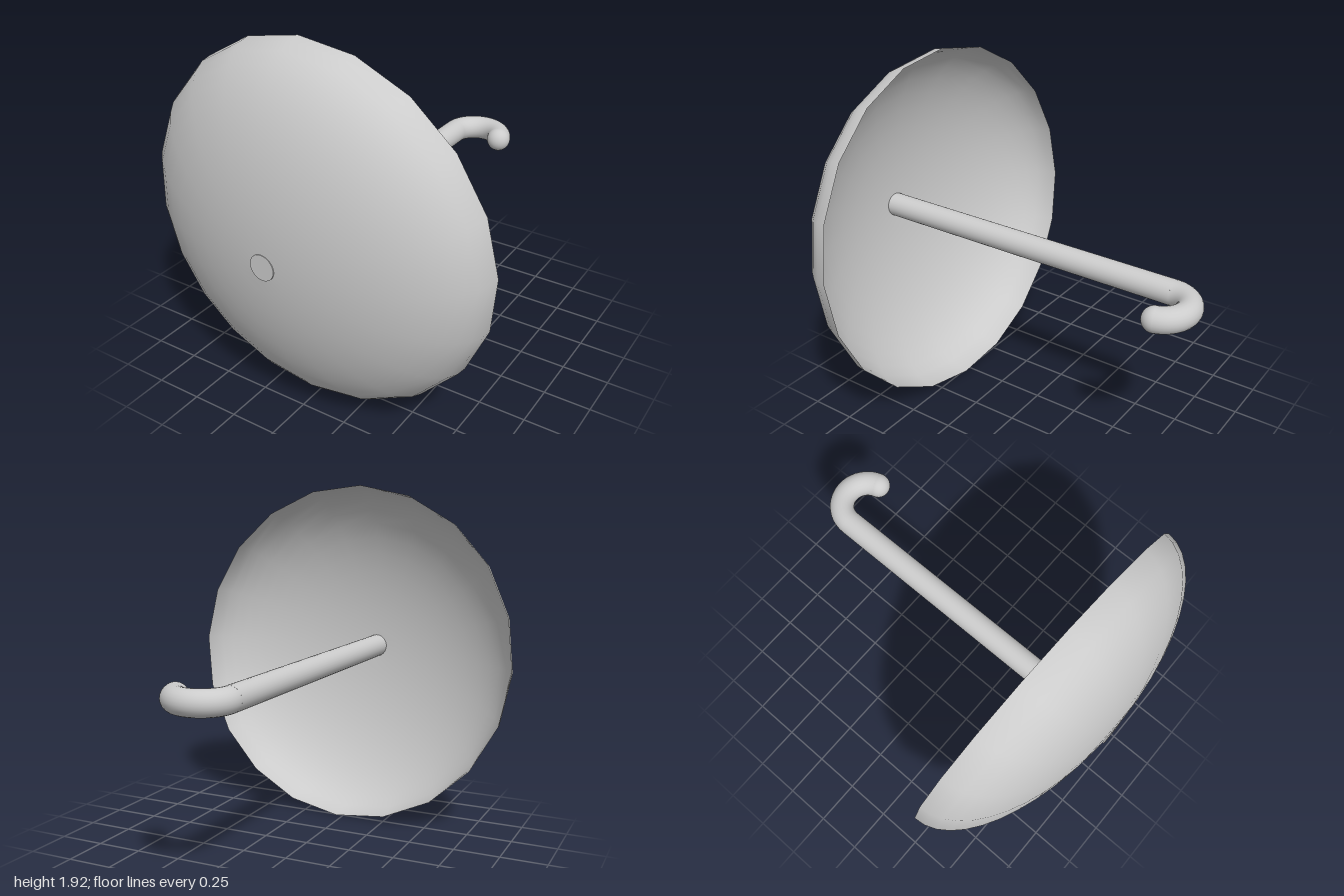
import * as THREE from 'three';

const SHAFT_R = 0.066;
const SHAFT_Y = 0.954;
const HOOK_R = 0.136;
const HOOK_Z = -0.8;

export function createModel() {
  const model = new THREE.Group();
  const grey = new THREE.MeshStandardMaterial({ color: 0xcccccc });
  const thin = new THREE.MeshStandardMaterial({ color: 0xcccccc, side: THREE.DoubleSide });

  const add = (name, geometry, material = grey) => {
    const mesh = new THREE.Mesh(geometry, material);
    mesh.name = name;
    model.add(mesh);
    return mesh;
  };

  // Canopy: open half ellipsoid with twenty sides, tilted slightly off the shaft
  const radius = 0.962, depth = 0.442, rings = 12;
  const profile = [];
  for (let i = 0; i <= rings; i++) {
    const a = (i / rings) * Math.PI / 2;
    profile.push(new THREE.Vector2(i === rings ? 0 : radius * Math.cos(a), depth * Math.sin(a)));
  }
  const dome = new THREE.LatheGeometry(profile, 20, THREE.MathUtils.degToRad(2.3));
  dome.rotateX(Math.PI / 2);
  const canopy = add('canopy', dome, thin);
  const facing = new THREE.Vector3(-0.031, -0.068, 1).normalize();
  canopy.quaternion.setFromUnitVectors(new THREE.Vector3(0, 0, 1), facing);
  canopy.position.set(0, 0.964, 0.55);

  // Shaft: runs from the hook to the tip of the canopy
  const tipZ = 0.997;
  const rod = new THREE.CylinderGeometry(SHAFT_R, SHAFT_R, tipZ - HOOK_Z, 32);
  rod.rotateX(Math.PI / 2);
  add('shaft', rod).position.set(-0.003, SHAFT_Y, (tipZ + HOOK_Z) / 2);

  // Hooked handle: an arc lying flat, bending towards +x
  const arc = THREE.MathUtils.degToRad(165);
  const bend = new THREE.TorusGeometry(HOOK_R, SHAFT_R, 24, 40, arc);
  bend.rotateZ(Math.PI - arc);
  bend.rotateX(-Math.PI / 2);
  add('handleHook', bend).position.set(HOOK_R - 0.003, SHAFT_Y, HOOK_Z);

  // Rounded end of the handle
  const end = Math.PI - arc;
  add('handleEnd', new THREE.SphereGeometry(SHAFT_R, 24, 16)).position.set(
    HOOK_R - 0.003 + HOOK_R * Math.cos(end), SHAFT_Y, HOOK_Z - HOOK_R * Math.sin(end));

  return model;
}
